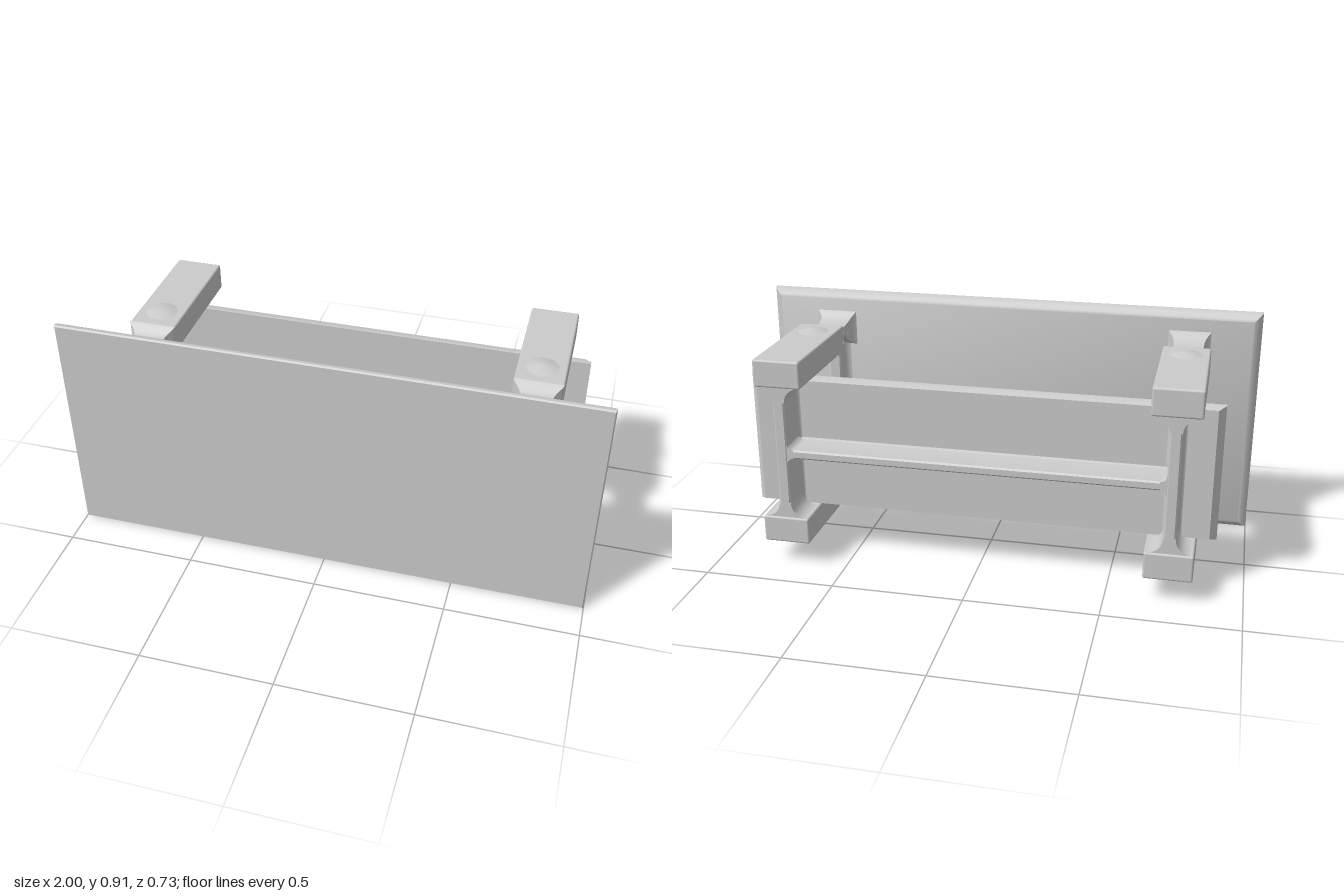
import * as THREE from 'three';
import { mergeGeometries, toCreasedNormals } from 'three/addons/utils/BufferGeometryUtils.js';
import { RoundedBoxGeometry } from 'three/addons/geometries/RoundedBoxGeometry.js';

const MID = 0.455; // mirror height
const ARM_X = 0.725;
const grey = new THREE.MeshStandardMaterial({ color: 0xcccccc });

// Skin rectangular sections [z, halfWidth, y0, y1], listed by increasing z.
function loft(sections) {
  const pos = [], idx = [];
  for (const [z, w, y0, y1] of sections) pos.push(-w, y0, z, w, y0, z, w, y1, z, -w, y1, z);
  for (let s = 0; s < sections.length - 1; s++) {
    for (let i = 0; i < 4; i++) {
      const a = s * 4 + i, b = s * 4 + (i + 1) % 4;
      idx.push(a, b, b + 4, a, b + 4, a + 4);
    }
  }
  const e = (sections.length - 1) * 4;
  idx.push(0, 2, 1, 0, 3, 2, e, e + 1, e + 2, e, e + 2, e + 3);
  const g = new THREE.BufferGeometry();
  g.setAttribute('position', new THREE.Float32BufferAttribute(pos, 3));
  g.setIndex(idx);
  return toCreasedNormals(g, 0.7);
}

// Upright rib with filleted foot and flared ends; it rises towards -z.
function ridge(length, height, base, top, flare) {
  const f = Math.min(base - top, height * 0.8);
  const s = new THREE.Shape();
  s.moveTo(-base, 0);
  s.lineTo(base, 0);
  s.quadraticCurveTo(top, 0, top, f);
  s.lineTo(top, height - 0.006);
  s.lineTo(top - 0.006, height);
  s.lineTo(-top + 0.006, height);
  s.lineTo(-top, height - 0.006);
  s.lineTo(-top, f);
  s.quadraticCurveTo(-top, 0, -base, 0);
  const body = new THREE.ExtrudeGeometry(s, { depth: length, bevelEnabled: false, curveSegments: 6 });
  body.translate(0, 0, -length / 2);
  body.deleteAttribute('uv');
  const end = [];
  for (let i = 0; i <= 6; i++) {
    const a = (i / 6) * Math.PI / 2;
    end.push([length / 2 - flare + flare * Math.sin(a), top + flare * (1 - Math.cos(a)), 0, height]);
  }
  const start = end.map(([z, w, y0, y1]) => [-z, w, y0, y1]).reverse();
  const g = mergeGeometries([toCreasedNormals(body, 0.7), loft(end), loft(start)]);
  return g.rotateX(-Math.PI / 2);
}

export function createModel() {
  const model = new THREE.Group();
  const add = (name, geometry, x = 0, y = 0, z = 0) => {
    const mesh = new THREE.Mesh(geometry, grey);
    mesh.name = name;
    mesh.position.set(x, y, z);
    model.add(mesh);
    return mesh;
  };

  // Front plate with rounded rear edges
  const plate = [[0.316, 0.968, 0.423], [0.322, 0.978, 0.433], [0.332, 0.99, 0.445],
    [0.346, 1, 0.454], [0.36, 1, 0.455], [0.365, 0.995, 0.45]];
  add('frontPlate', loft(plate.map(([z, w, h]) => [z, w, MID - h, MID + h])));

  // Rear plate with bevelled back edges
  add('rearPlate', loft([[-0.229, 0.862, 0.205, 0.705], [-0.2, 0.888, 0.195, 0.715],
    [-0.186, 0.888, 0.195, 0.715]]));

  // Horizontal stiffening ribs on both plates
  const frontRib = ridge(1.41, 0.057, 0.07, 0.02, 0.04).rotateZ(Math.PI / 2);
  add('frontRib', frontRib, 0, MID, 0.318);
  const rearRib = ridge(1.41, 0.13, 0.035, 0.017, 0.025).rotateZ(Math.PI / 2);
  add('rearRib', rearRib, 0, MID, -0.226);

  // Upright ribs joining the arms
  const frontPost = ridge(0.59, 0.057, 0.07, 0.025, 0.035);
  const rearPost = ridge(0.522, 0.13, 0.05, 0.022, 0.06);

  // Waisted neck between the arm and the front plate
  const neck = [[0.13, 0.09, 0.716, 0.819], [0.142, 0.082, 0.724, 0.812], [0.152, 0.069, 0.738, 0.8],
    [0.165, 0.061, 0.747, 0.791], [0.18, 0.058, 0.75, 0.787], [0.23, 0.058, 0.75, 0.787],
    [0.25, 0.058, 0.742, 0.788], [0.26, 0.058, 0.725, 0.79], [0.285, 0.06, 0.71, 0.796],
    [0.303, 0.066, 0.7, 0.808], [0.318, 0.085, 0.69, 0.832]];
  const upperNeck = loft(neck);
  const lowerNeck = loft(neck.map(([z, w, y0, y1]) => [z, w, 2 * MID - y1, 2 * MID - y0]));

  const arm = new RoundedBoxGeometry(0.18, 0.105, 0.497, 2, 0.008);
  const bump = new THREE.LatheGeometry(
    [[0.07, -0.002], [0.05, 0.003], [0.025, 0.011], [0, 0.013]].map(p => new THREE.Vector2(...p)), 10);

  for (const side of [-1, 1]) {
    const x = side * ARM_X;
    add('frontPost', frontPost, x, MID, 0.318);
    add('rearPost', rearPost, x, MID, -0.226);
    add('upperNeck', upperNeck, x);
    add('lowerNeck', lowerNeck, x);
    for (const up of [-1, 1]) {
      const y = MID + up * 0.3125;
      add('arm', arm, x, y, -0.1135);
      // Low swellings above and below each arm
      for (const face of [-1, 1]) {
        const b = add('armBump', bump, x, y + face * 0.0525, 0.035);
        if (face < 0) b.rotation.x = Math.PI;
      }
    }
  }
  return model;
}
